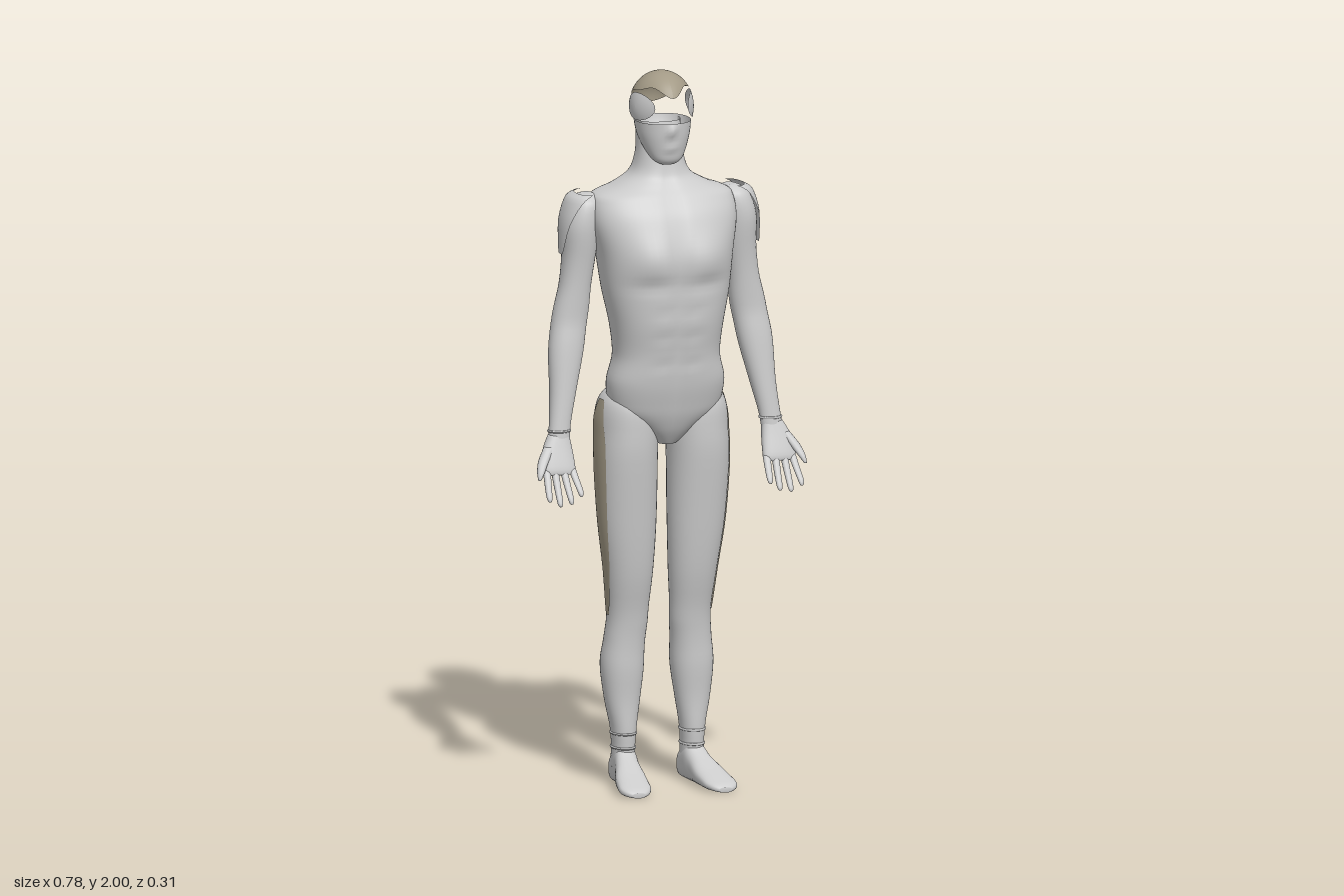
import * as THREE from 'three';

const TAU = Math.PI * 2;
const grey = new THREE.MeshStandardMaterial({ color: 0xcccccc, side: THREE.DoubleSide });
const tan = new THREE.MeshStandardMaterial({ color: 0xa39a86, side: THREE.DoubleSide });
const bump = (v, c, w) => Math.exp(-(((v - c) / w) ** 2));

// Smooth steps between rings, without overshoot
function refine(rings, sub) {
  const slope = (i, k) => {
    if (i === 0 || i === rings.length - 1) return 0;
    const a = rings[i][k] - rings[i - 1][k], b = rings[i + 1][k] - rings[i][k];
    if (a * b <= 0) return 0;
    return Math.sign(a) * Math.min(Math.abs(a + b) / 2, 2 * Math.abs(a), 2 * Math.abs(b));
  };
  const out = [];
  for (let i = 0; i < rings.length - 1; i++) {
    for (let s = 0; s < sub; s++) {
      const t = s / sub, t2 = t * t, t3 = t2 * t;
      out.push(rings[i].map((p, k) => (2 * t3 - 3 * t2 + 1) * p + (t3 - 2 * t2 + t) * slope(i, k)
        + (3 * t2 - 2 * t3) * rings[i + 1][k] + (t3 - t2) * slope(i + 1, k)));
    }
  }
  out.push(rings[rings.length - 1]);
  return out;
}

// Skin over rings [cx, y, cz, rx, rz], listed top to bottom.
// arc(t) gives start and end angle for an open strip; sculpt(p) shifts a point.
function loft(rings, { seg = 28, sub = 4, n = 2.2, arc = null, sculpt = null, caps = true } = {}) {
  const rows = refine(rings, sub), pos = [], idx = [];
  const cols = arc ? seg + 1 : seg, e = 2 / n;
  const p = new THREE.Vector3();
  rows.forEach(([cx, y, cz, rx, rz], i) => {
    const [a0, a1] = arc ? arc(i / (rows.length - 1)) : [0, TAU];
    for (let j = 0; j < cols; j++) {
      const a = a0 + (a1 - a0) * j / seg, c = Math.cos(a), s = Math.sin(a);
      p.set(cx + rx * Math.sign(c) * Math.abs(c) ** e, y, cz + rz * Math.sign(s) * Math.abs(s) ** e);
      if (sculpt) sculpt(p, s);
      pos.push(p.x, p.y, p.z);
    }
  });
  for (let i = 0; i < rows.length - 1; i++) {
    for (let j = 0; j < seg; j++) {
      const k = (j + 1) % cols;
      const a = i * cols + j, d = i * cols + k, b = a + cols, c = d + cols;
      idx.push(a, d, c, a, c, b);
    }
  }
  if (!arc && caps) {
    const last = (rows.length - 1) * cols, top = rows.length * cols;
    for (const r of [rows[0], rows[rows.length - 1]]) pos.push(r[0], r[1], r[2]);
    for (let j = 0; j < seg; j++) {
      const k = (j + 1) % seg;
      idx.push(top, k, j, top + 1, last + j, last + k);
    }
  }
  const g = new THREE.BufferGeometry();
  g.setAttribute('position', new THREE.Float32BufferAttribute(pos, 3));
  g.setIndex(idx);
  g.computeVertexNormals();
  return g;
}

function mirrorX(geometry) {
  const g = geometry.clone().scale(-1, 1, 1), ix = g.index.array;
  for (let i = 0; i < ix.length; i += 3) [ix[i], ix[i + 1]] = [ix[i + 1], ix[i]];
  g.computeVertexNormals();
  return g;
}

// Patch of the skull ellipsoid
const skull = (v) => {
  const p = new THREE.Vector3(v.x * 0.088, 1.9 + v.y * 0.1, -0.02 + v.z * 0.106);
  p.x *= 1 - 0.22 * Math.max(0, v.z) ** 2;
  return p;
};

// Grid surface from f(u, v), closed or open
function grid(f, nu, nv) {
  const g = new THREE.PlaneGeometry(1, 1, nu, nv), pos = g.attributes.position, uv = g.attributes.uv;
  for (let i = 0; i < pos.count; i++) {
    const p = f(uv.getX(i), uv.getY(i));
    pos.setXYZ(i, p.x, p.y, p.z);
  }
  g.computeVertexNormals();
  return g;
}

export function createModel() {
  const model = new THREE.Group();
  const add = (name, geometry, material = grey) => {
    const m = new THREE.Mesh(geometry, material);
    m.name = name;
    model.add(m);
  };
  const pair = (name, geometry, material) => {
    add(name + 'Left', geometry, material);
    add(name + 'Right', mirrorX(geometry), material);
  };

  // Torso and neck: [y, half width, front z, back z]
  const trunk = [
    [1.86, 0.062, 0.0, -0.115], [1.82, 0.06, 0.01, -0.112], [1.76, 0.066, 0.025, -0.11],
    [1.715, 0.085, 0.035, -0.12], [1.685, 0.135, 0.055, -0.13], [1.655, 0.2, 0.08, -0.145],
    [1.6, 0.208, 0.115, -0.153], [1.5, 0.19, 0.145, -0.148], [1.4, 0.177, 0.143, -0.125],
    [1.3, 0.157, 0.138, -0.105], [1.22, 0.149, 0.125, -0.095], [1.14, 0.165, 0.115, -0.1],
    [1.07, 0.155, 0.098, -0.1], [1.01, 0.085, 0.075, -0.075], [0.965, 0.03, 0.045, -0.05],
  ].map(([y, w, f, b]) => [0, y, (f + b) / 2, w, (f - b) / 2]);
  add('torso', loft(trunk, {
    seg: 64, sub: 6, n: 2.4, caps: false,
    sculpt: (p, s) => {
      const side = Math.abs(p.x), body = bump(p.y, 1.35, 0.32);
      if (s > 0) {
        // chest muscles, centre line and stomach creases
        p.z += s * 0.014 * bump(side, 0.085, 0.06) * bump(p.y, 1.5, 0.06);
        p.z -= s * 0.012 * body * bump(p.x, 0, 0.014);
        p.z -= s * 0.007 * bump(p.y, 1.425, 0.018) * bump(side, 0.08, 0.07);
        for (const y of [1.2, 1.28, 1.35]) p.z -= s * 0.003 * bump(p.y, y, 0.012) * bump(side, 0.04, 0.035);
      } else {
        // spine groove and shoulder blades
        p.z -= s * 0.018 * body * bump(p.x, 0, 0.03);
        p.z += s * 0.008 * bump(side, 0.095, 0.045) * bump(p.y, 1.58, 0.08);
      }
    },
  }));

  // Lower face, open at eye level
  add('lowerFace', loft([
    [0, 1.865, -0.015, 0.077, 0.083], [0, 1.83, -0.01, 0.072, 0.077], [0, 1.79, 0.005, 0.058, 0.057],
    [0, 1.76, 0.022, 0.04, 0.034], [0, 1.748, 0.027, 0.02, 0.018],
  ], {
    seg: 40, caps: false,
    sculpt: (p, s) => {
      if (s > 0) p.z += 0.012 * bump(p.x, 0, 0.012) * bump(p.y, 1.845, 0.015)
        + 0.005 * bump(p.x, 0, 0.02) * bump(p.y, 1.795, 0.008);
    },
  }));

  // Skull cap with arched brow edge, lower at the back
  add('skullCap', grid((u, v) => {
    const a = u * TAU, f = Math.cos(a);
    const edge = (f > 0 ? 1.95 - 0.012 * f ** 8 : 1.95 - 0.057 * f * f) + 0.014 * Math.sin(a * 2) ** 2 * (f > 0 ? 1 : 0);
    const polar = (1 - v) * Math.acos((edge - 1.9) / 0.1), r = Math.sin(polar);
    return skull(new THREE.Vector3(r * Math.sin(a), Math.cos(polar), r * f));
  }, 48, 14), tan);

  // Oval temple plates
  pair('templePlate', grid((u, v) => {
    const a = u * TAU, r = 1 - v;
    const y = 0.08 + 0.38 * r * Math.sin(a), z = 0.2 - 0.58 * r * Math.cos(a);
    return skull(new THREE.Vector3(Math.sqrt(Math.max(0, 1 - y * y - z * z)), y, z));
  }, 28, 6));

  // Arms
  pair('arm', loft([
    [0.208, 1.665, -0.05, 0.015, 0.02], [0.215, 1.645, -0.05, 0.042, 0.055],
    [0.228, 1.58, -0.05, 0.052, 0.066], [0.233, 1.5, -0.045, 0.046, 0.053],
    [0.243, 1.42, -0.045, 0.044, 0.045], [0.258, 1.33, -0.045, 0.05, 0.042],
    [0.272, 1.25, -0.035, 0.05, 0.041], [0.29, 1.12, -0.015, 0.037, 0.034],
    [0.306, 1.02, 0.005, 0.03, 0.024], [0.31, 0.985, 0.012, 0.03, 0.021],
  ]));

  // Pointed plates over the shoulders
  pair('shoulderPlate', loft([
    [0.212, 1.668, -0.045, 0.03, 0.055], [0.215, 1.655, -0.045, 0.05, 0.068],
    [0.228, 1.59, -0.045, 0.058, 0.074], [0.235, 1.5, -0.045, 0.052, 0.06],
  ], { seg: 16, arc: (t) => [-1.7 + 1.5 * t, 1.7 - 1.5 * t] }));

  // Hands: palm, four fingers and an outward thumb
  pair('palm', loft([
    [0.31, 1.005, 0.008, 0.029, 0.021], [0.318, 0.965, 0.022, 0.042, 0.02],
    [0.32, 0.915, 0.042, 0.047, 0.016], [0.32, 0.9, 0.048, 0.042, 0.01],
  ], { n: 2.6 }));
  [[0.283, 0.275, 0.845], [0.308, 0.303, 0.825], [0.333, 0.335, 0.82], [0.356, 0.366, 0.835]].forEach(([x0, x1, tip], i) => {
    pair('finger' + (i + 1), loft([
      [x0, 0.915, 0.042, 0.011, 0.011], [(x0 + x1) / 2, (0.915 + tip) / 2 + 0.005, 0.068, 0.01, 0.01],
      [x1, tip + 0.01, 0.096, 0.008, 0.008], [x1, tip, 0.101, 0.003, 0.003],
    ], { seg: 10, sub: 3 }));
  });
  pair('thumb', loft([
    [0.34, 0.975, 0.022, 0.016, 0.014], [0.365, 0.94, 0.042, 0.015, 0.013],
    [0.38, 0.91, 0.062, 0.01, 0.01], [0.386, 0.892, 0.072, 0.004, 0.004],
  ], { seg: 12, sub: 3 }));

  // Legs, with the seat muscle in the upper rings
  const leg = [
    [0.105, 1.125, -0.025, 0.03, 0.05], [0.105, 1.09, -0.025, 0.067, 0.09],
    [0.101, 1.02, -0.028, 0.085, 0.104], [0.104, 0.92, -0.02, 0.085, 0.093],
    [0.1, 0.75, -0.022, 0.08, 0.075], [0.093, 0.6, -0.032, 0.067, 0.064],
    [0.091, 0.48, -0.047, 0.057, 0.053], [0.096, 0.41, -0.057, 0.057, 0.055],
    [0.101, 0.34, -0.064, 0.06, 0.06], [0.102, 0.24, -0.06, 0.049, 0.049],
    [0.1, 0.15, -0.055, 0.034, 0.044], [0.1, 0.1, -0.057, 0.031, 0.043], [0.1, 0.05, -0.058, 0.032, 0.045],
  ];
  pair('leg', loft(leg, { seg: 36 }));

  // Outer thigh strips
  pair('thighStrip', loft(leg.slice(1, 7).map(([x, y, z, a, b]) => [x, y, z, a + 0.0025, b + 0.0025]), {
    seg: 12, arc: (t) => [-0.1 - 0.4 * Math.sin(Math.PI * t), 0.2 + 0.35 * Math.sin(Math.PI * t)],
  }), tan);

  // Feet: rings run from toe to heel, then turn to lie flat
  const foot = [
    [0.156, 0.126, 0.018, 0.014], [0.142, 0.126, 0.036, 0.024], [0.11, 0.123, 0.046, 0.036],
    [0.06, 0.116, 0.045, 0.055], [0, 0.106, 0.036, 0.085], [-0.04, 0.1, 0.033, 0.11],
    [-0.09, 0.099, 0.032, 0.085], [-0.11, 0.099, 0.018, 0.04],
  ].map(([z, x, w, h]) => [x, z, -h / 2, w, h / 2]);
  pair('foot', loft(foot, { n: 2.5 }).rotateX(Math.PI / 2));

  // Thin bands at wrists and ankles
  const band = (x, y, z, rx, rz) => new THREE.TorusGeometry(1, 0.09, 8, 32).rotateX(Math.PI / 2)
    .scale(rx, 0.04, rz).translate(x, y, z);
  pair('wristBand', band(0.307, 1.015, 0.005, 0.031, 0.025));
  pair('ankleBandUpper', band(0.1, 0.145, -0.055, 0.034, 0.044));
  pair('ankleBandLower', band(0.1, 0.105, -0.057, 0.032, 0.044));

  return model;
}
